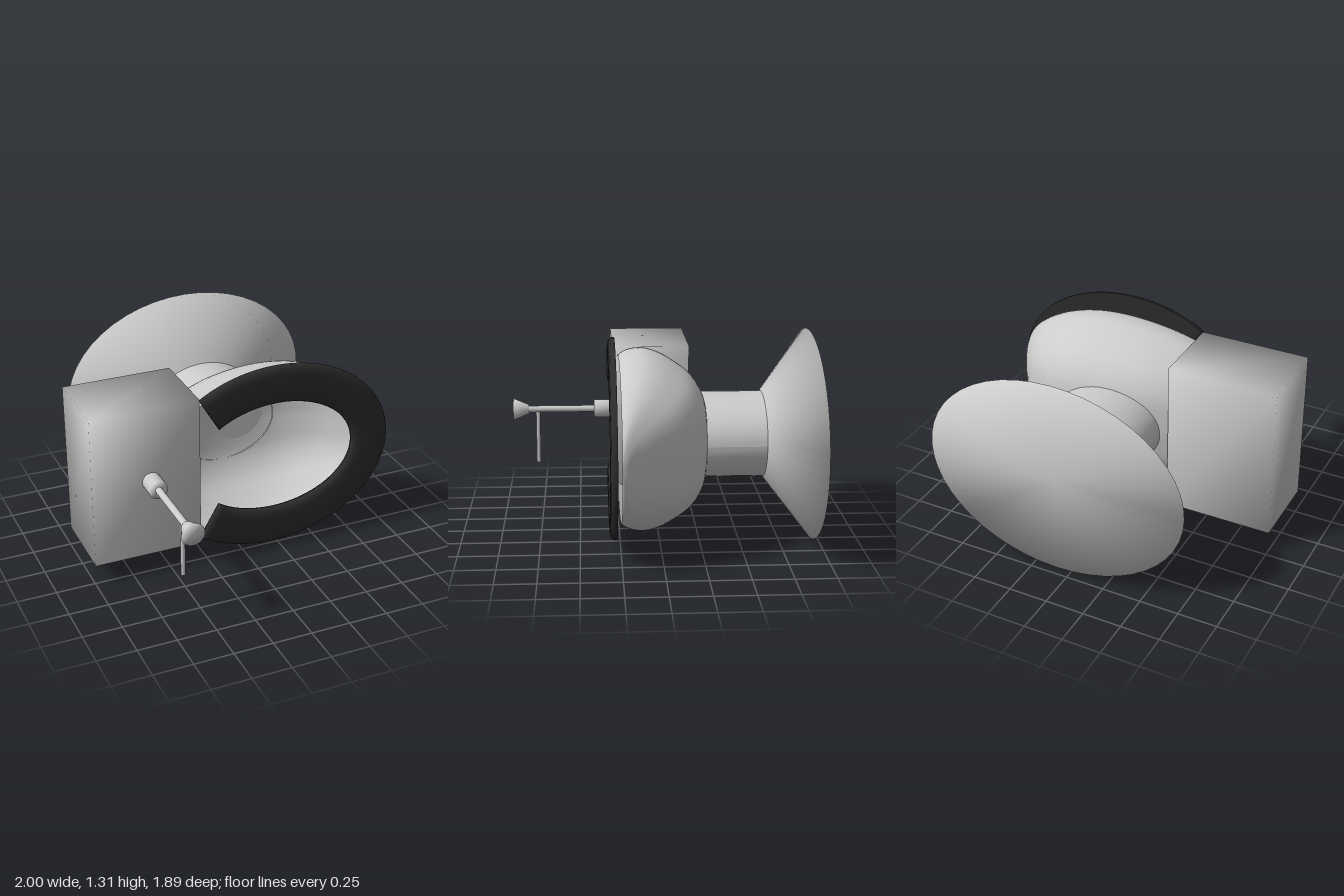
import * as THREE from 'three';
import { mergeVertices } from 'three/addons/utils/BufferGeometryUtils.js';

const GREY = 0xcccccc, DARK = 0x2c2c2c;
const CY = 0.66; // height of the long axis

export function createModel() {
  const group = new THREE.Group();
  const add = (name, geometry, color = GREY, side = THREE.FrontSide) => {
    const mesh = new THREE.Mesh(geometry, new THREE.MeshStandardMaterial({ color, side }));
    mesh.name = name;
    group.add(mesh);
    return mesh;
  };

  // Share vertices so shading rolls over every edge
  const smooth = (geometry) => {
    geometry.deleteAttribute('uv');
    geometry.deleteAttribute('normal');
    const merged = mergeVertices(geometry);
    merged.computeVertexNormals();
    return merged;
  };

  // Round part along z, from z0 (radius r0) to z1 (radius r1)
  const rod = (r0, r1, z0, z1, x, y = CY, squash = 1, sides = 24) => smooth(
    new THREE.CylinderGeometry(r1, r0, z1 - z0, sides)
      .rotateX(Math.PI / 2).scale(1, squash, 1).translate(x, y, (z0 + z1) / 2));

  // Skin over rows of points
  const loft = (rows) => {
    const n = rows[0].length, index = [];
    for (let i = 0; i < rows.length - 1; i++) {
      for (let j = 0; j < n - 1; j++) {
        const a = i * n + j, b = a + n;
        index.push(a, b, a + 1, b, b + 1, a + 1);
      }
    }
    const geometry = new THREE.BufferGeometry();
    geometry.setAttribute('position', new THREE.Float32BufferAttribute(rows.flat(2), 3));
    geometry.setIndex(index);
    geometry.computeVertexNormals();
    return geometry;
  };

  // Tank
  add('tank', smooth(new THREE.BoxGeometry(0.7, 1.0, 0.5).translate(-0.65, 0.65, 0.03)));

  // Flush valve: collar, rod, flared knob and hanging lever
  add('valveCollar', rod(0.06, 0.06, 0.27, 0.4, -0.62, 0.665));
  add('valveRod', rod(0.022, 0.022, 0.39, 0.86, -0.62, 0.665));
  add('valveKnob', rod(0.03, 0.074, 0.84, 0.945, -0.62, 0.665));
  add('lever', smooth(new THREE.CylinderGeometry(0.014, 0.014, 0.36, 16).translate(-0.62, 0.475, 0.78)));

  // Bowl: U-shaped sections along x, keel depth taken from a curve
  const keel = new THREE.SplineCurve([
    [-0.31, -0.2], [-0.1, -0.272], [0.15, -0.302], [0.42, -0.287], [0.6, -0.225], [0.74, -0.125],
    [0.86, 0.03], [0.93, 0.15], [0.97, 0.215], [0.98, 0.25],
  ].map(([x, z]) => new THREE.Vector2(x, z)));
  const halfU = new THREE.SplineCurve([
    [1, 0], [1.07, 0.1], [1.1, 0.27], [1.05, 0.45], [0.93, 0.64], [0.77, 0.82],
    [0.53, 0.945], [0.25, 0.985], [0, 1],
  ].map(([f, g]) => new THREE.Vector2(f, g))).getPoints(24);
  const section = [
    ...halfU.map((p) => [p.x, p.y]),
    ...halfU.slice(0, -1).reverse().map((p) => [-p.x, p.y]),
  ];
  const bowlRows = keel.getPoints(45).map((k) => {
    const reach = k.x < 0.2 ? 0.95 : 0.78;
    const width = 0.5 * Math.sqrt(Math.max(0, 1 - ((k.x - 0.2) / reach) ** 2));
    return section.map(([f, g]) => [k.x, CY + width * f, 0.25 - (0.25 - k.y) * g]);
  });
  add('bowl', loft(bowlRows), GREY, THREE.DoubleSide);

  // Flat disc showing at the bottom of the bowl
  add('bowlFloor', new THREE.CircleGeometry(1, 48).scale(0.33, 0.25, 1).translate(0.1, CY + 0.01, -0.292));

  // Oval neck, its front edge following the bowl
  const neckRows = [0, 1].map((end) => Array.from({ length: 49 }, (_, i) => {
    const t = (i / 48) * Math.PI * 2;
    const front = -0.27 + 0.04 * Math.max(0, -Math.cos(t));
    return [0.1 + 0.35 * Math.cos(t), CY + 0.265 * Math.sin(t), end ? front : -0.65];
  }));
  add('neck', loft(neckRows), GREY, THREE.DoubleSide);

  // Flared oval foot
  add('foot', rod(0.855, 0.35, -0.945, -0.65, 0.1, CY, 0.766, 48));

  // Open-ended seat ring with rounded upper edges
  const profile = [
    [0, 0], [0, 0.3], [0.03, 0.65], [0.1, 0.9], [0.22, 1], [0.5, 1.03],
    [0.78, 1], [0.9, 0.9], [0.97, 0.65], [1, 0.3], [1, 0], [0, 0],
  ];
  const seatRows = [];
  for (let i = 0; i <= 72; i++) {
    const s = i / 36 - 1;
    const outer = THREE.MathUtils.degToRad(129.5) * s, inner = THREE.MathUtils.degToRad(134.5) * s;
    seatRows.push(profile.map(([f, h]) => [
      0.2 + THREE.MathUtils.lerp(0.795 * Math.cos(outer), 0.54 * Math.cos(inner), f),
      0.667 + THREE.MathUtils.lerp(0.619 * Math.sin(outer), 0.367 * Math.sin(inner), f),
      0.275 + 0.043 * h,
    ]));
  }
  // Close both ends
  const endCap = (row) => {
    const a = row[0], b = row[10];
    return row.map(() => [(a[0] + b[0]) / 2, (a[1] + b[1]) / 2, 0.295]);
  };
  seatRows.unshift(endCap(seatRows[0]));
  seatRows.push(endCap(seatRows[seatRows.length - 1]));
  add('seat', loft(seatRows), DARK, THREE.DoubleSide);

  return group;
}
